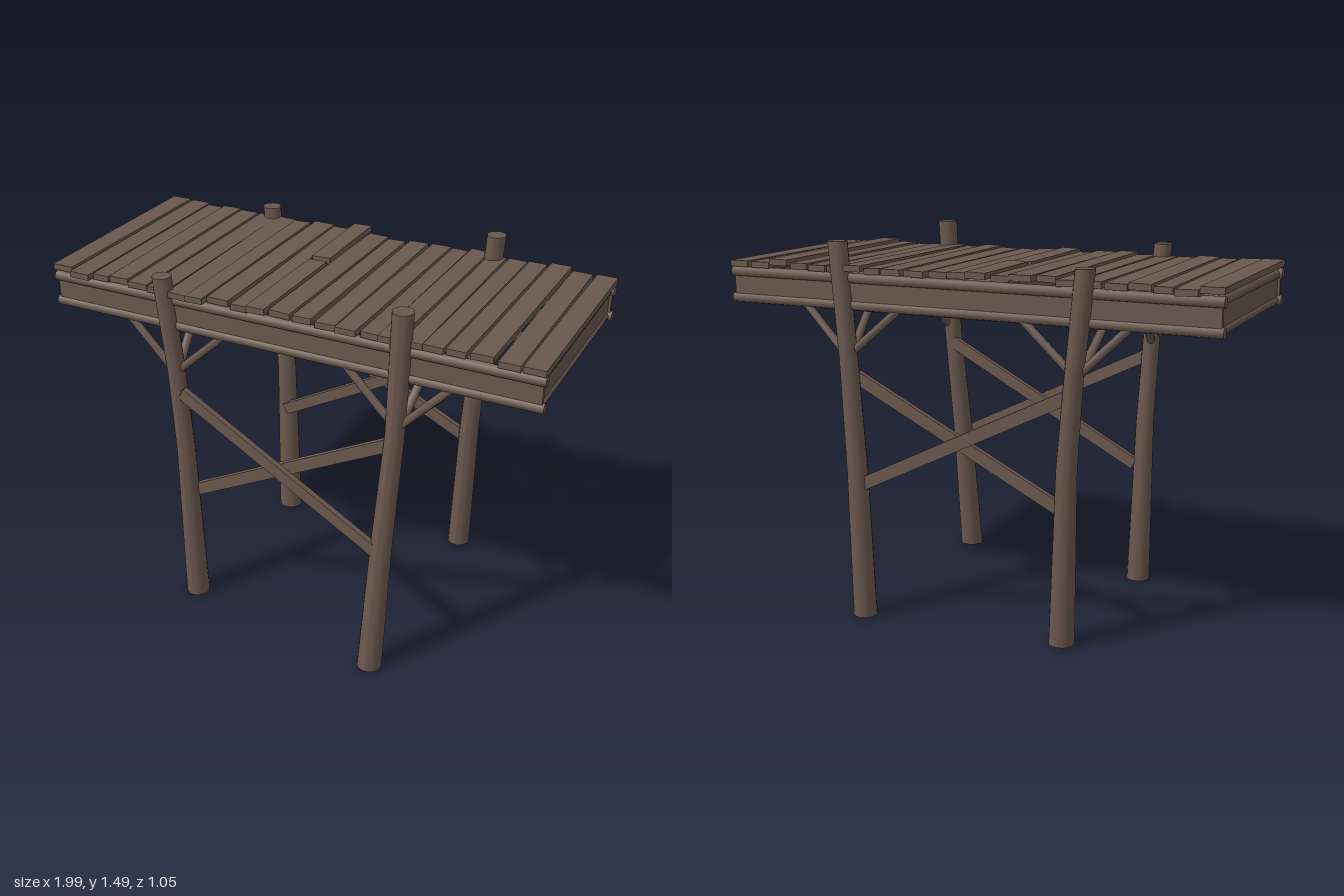
import * as THREE from 'three';

export function createModel() {
  const model = new THREE.Group();
  model.name = 'timberWalkway';
  const wood = new THREE.MeshStandardMaterial({ color: 0x6a584e });
  wood.name = 'weathered wood';
  const V = (x, y, z) => new THREE.Vector3(x, y, z);

  let seed = 7;
  const rnd = () => ((seed = (seed * 16807) % 2147483647) / 2147483647) * 2 - 1;

  function add(name, geo, parent = model) {
    const mesh = new THREE.Mesh(geo, wood);
    mesh.name = name;
    parent.add(mesh);
    return mesh;
  }

  // Round log between two points
  function log(name, a, b, r, sides = 8) {
    const m = add(name, new THREE.CylinderGeometry(r, r, a.distanceTo(b), sides));
    m.position.copy(a).lerp(b, 0.5);
    m.quaternion.setFromUnitVectors(V(0, 1, 0), b.clone().sub(a).normalize());
    return m;
  }

  // Sawn board between two points: its height stays as upright as possible
  function board(name, a, b, height, thick) {
    const m = add(name, new THREE.BoxGeometry(thick, height, a.distanceTo(b)));
    m.position.copy(a).lerp(b, 0.5);
    m.lookAt(b);
    return m;
  }

  // Slightly bent, tapering post following [x, y, z, radius] stations
  function post(name, stations) {
    const n = stations.length - 1;
    const geo = new THREE.CylinderGeometry(1, 1, n, 14, n);
    const p = geo.attributes.position;
    for (let i = 0; i < p.count; i++) {
      const [x, y, z, r] = stations[Math.round(p.getY(i) + n / 2)];
      p.setXYZ(i, x + p.getX(i) * r, y, z + p.getZ(i) * r);
    }
    geo.computeVertexNormals();
    add(name, geo);
  }

  post('frontLeftPost', [[0.42, 0.005, 0.475, 0.049], [0.44, 0.55, 0.435, 0.042],
    [0.463, 1.02, 0.39, 0.037], [0.475, 1.495, 0.376, 0.04]]);
  post('frontRightPost', [[-0.435, 0.005, 0.36, 0.048], [-0.445, 0.7, 0.37, 0.037],
    [-0.463, 1.05, 0.375, 0.035], [-0.5, 1.44, 0.38, 0.037]]);
  post('backLeftPost', [[0.42, 0.005, -0.475, 0.047], [0.438, 0.6, -0.475, 0.041],
    [0.468, 1.05, -0.468, 0.036], [0.507, 1.485, -0.458, 0.038]]);
  post('backRightPost', [[-0.4, 0.005, -0.41, 0.05], [-0.425, 0.7, -0.44, 0.04],
    [-0.46, 1.05, -0.465, 0.036], [-0.5, 1.435, -0.47, 0.037]]);

  // Frame: upper and lower logs with a board between, on all four edges
  const zF = 0.367, zB = -0.452, end = 0.994;
  for (const z of [zF, zB]) {
    log('upperSideLog', V(-end, 1.345, z), V(end, 1.345, z), 0.021);
    log('lowerSideLog', V(-end, 1.242, z), V(end, 1.242, z), 0.02);
    board('sideBoard', V(-0.985, 1.293, z), V(0.985, 1.293, z), 0.1, 0.018);
  }
  for (const x of [-0.965, 0.965]) {
    log('upperEndLog', V(x, 1.345, zB), V(x, 1.345, zF), 0.02);
    log('lowerEndLog', V(x, 1.242, zB), V(x, 1.242, zF), 0.018);
    board('endBoard', V(x, 1.293, zB), V(x, 1.293, zF), 0.1, 0.02);
  }

  // Crossbeams between the posts
  for (const x of [-0.485, 0.485]) board('crossbeam', V(x, 1.275, zB), V(x, 1.275, zF), 0.11, 0.05);

  // Diagonal ties under the deck, one crossed pair per bay
  for (const [x0, x1] of [[-0.95, -0.5], [-0.46, 0], [0, 0.46], [0.5, 0.95]]) {
    board('deckTie', V(x0, 1.338, zB), V(x1, 1.338, zF), 0.025, 0.03);
    board('deckTie', V(x0, 1.325, zF), V(x1, 1.325, zB), 0.025, 0.03);
  }

  // Knee struts: two along the deck and one across it at each post
  for (const [x, z] of [[0.47, 0.395], [-0.465, 0.378], [0.475, -0.462], [-0.465, -0.462]]) {
    const s = Math.sign(x), t = Math.sign(z), edge = z > 0 ? zF : zB;
    log('outerStrut', V(x, 1.045, z), V(s * 0.66, 1.235, edge), 0.016, 7);
    log('innerStrut', V(x, 1.045, z), V(s * 0.255, 1.235, edge), 0.016, 7);
    log('acrossStrut', V(x, 1.02, z), V(s * 0.5, 1.235, z - t * 0.235), 0.017, 7);
  }

  // Crossed braces between posts on both long sides
  board('frontBrace', V(-0.43, 0.97, 0.395), V(0.43, 0.54, 0.46), 0.05, 0.024);
  board('frontBrace', V(-0.41, 0.515, 0.35), V(0.45, 0.965, 0.37), 0.05, 0.024);
  board('backBrace', V(-0.43, 0.97, -0.46), V(0.43, 0.54, -0.478), 0.05, 0.024);
  board('backBrace', V(-0.41, 0.515, -0.395), V(0.45, 0.965, -0.44), 0.05, 0.024);

  // Deck planks: [left edge, right edge, back end, front end, lift]
  const planks = [
    [-0.995, -0.91, -0.475, 0.385, 0.008], [-0.905, -0.822, -0.495, 0.41, 0], [-0.813, -0.745, -0.47, 0.385, 0],
    [-0.738, -0.655, -0.475, 0.385, 0.006], [-0.652, -0.57, -0.475, 0.385, 0], [-0.56, -0.475, -0.47, 0.39, 0],
    [-0.47, -0.388, -0.475, 0.4, 0], [-0.38, -0.308, -0.45, 0.415, 0.008], [-0.3, -0.212, -0.475, 0.385, 0.008],
    [-0.207, -0.138, -0.475, 0.385, 0], [-0.133, -0.055, -0.515, -0.125, 0.014], [-0.133, -0.055, -0.1, 0.4, 0.01],
    [-0.045, 0.04, -0.465, 0.38, 0.004], [0.047, 0.122, -0.455, 0.375, 0], [0.138, 0.218, -0.475, 0.385, 0],
    [0.23, 0.31, -0.48, 0.405, 0.004], [0.32, 0.385, -0.475, 0.385, 0], [0.393, 0.468, -0.485, 0.395, 0.006],
    [0.475, 0.55, -0.475, 0.385, 0], [0.555, 0.63, -0.475, 0.38, 0], [0.64, 0.712, -0.475, 0.385, 0.004],
    [0.73, 0.812, -0.475, 0.395, 0.014], [0.822, 0.902, -0.47, 0.39, 0], [0.912, 0.993, -0.475, 0.385, 0],
  ];
  const deck = new THREE.Group();
  deck.name = 'deck';
  model.add(deck);
  planks.forEach(([x0, x1, z0, z1, lift], i) => {
    const m = add('plank', new THREE.BoxGeometry(x1 - x0, 0.024, z1 - z0), deck);
    m.position.set((x0 + x1) / 2, 1.378 + lift, (z0 + z1) / 2);
    if (i > 0 && i < planks.length - 1) m.rotation.set(rnd() * 0.006, rnd() * 0.012, rnd() * 0.04);
  });

  return model;
}
